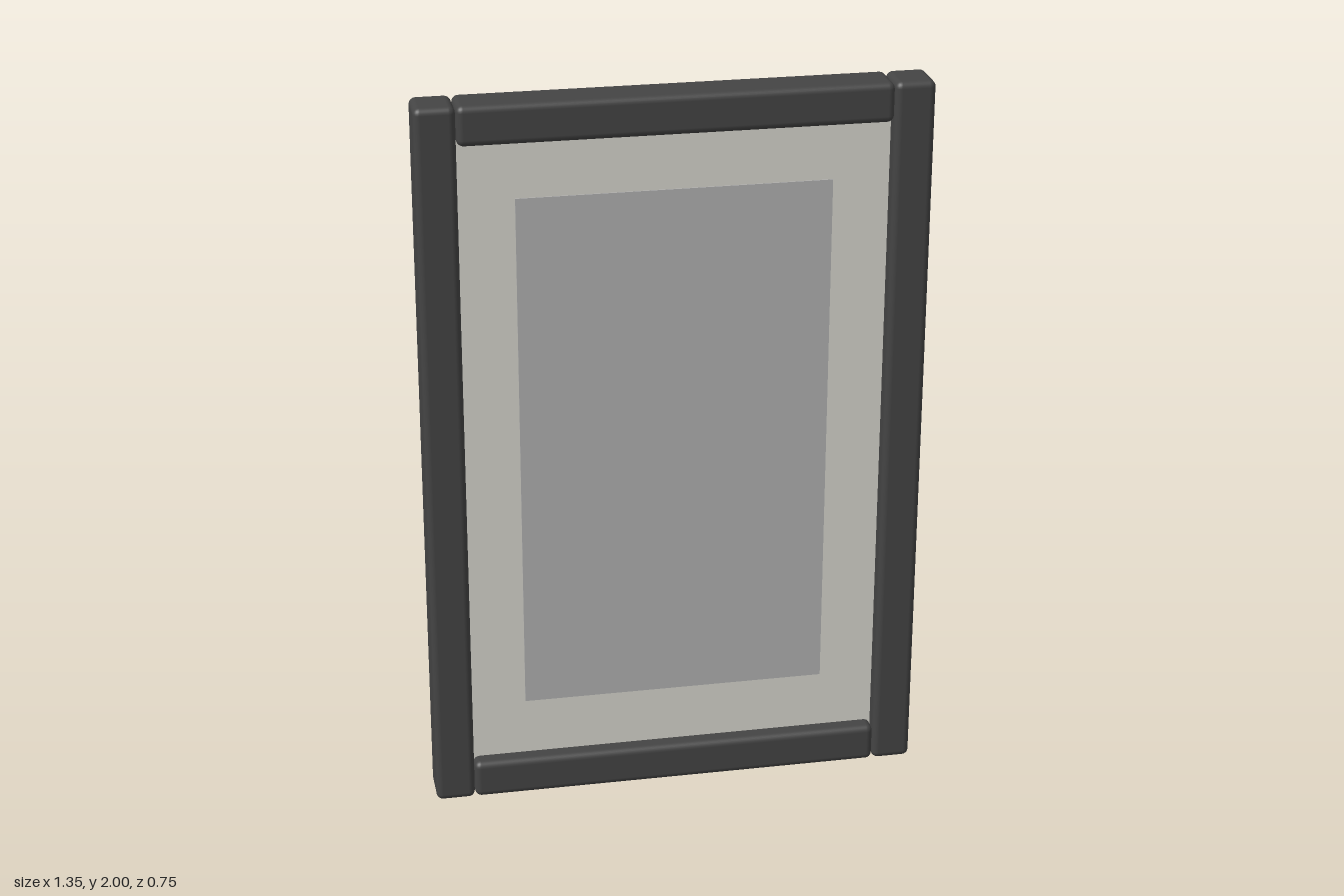
import * as THREE from 'three';
import { RoundedBoxGeometry } from 'three/addons/geometries/RoundedBoxGeometry.js';

const material = (name, color) => {
  const m = new THREE.MeshStandardMaterial({ color });
  m.name = name;
  return m;
};

export function createModel() {
  const model = new THREE.Group();
  model.name = 'pictureFrame';

  const charcoal = material('charcoal', 0x444444);
  const cream = material('cream', 0xd8d6ce);
  const grey = material('grey', 0xb2b2b2);
  const brown = material('brown', 0x7a6a58);

  const add = (name, geometry, mat, x, y, z) => {
    const mesh = new THREE.Mesh(geometry, mat);
    mesh.name = name;
    mesh.position.set(x, y, z);
    model.add(mesh);
    return mesh;
  };

  // Frame: two full-height uprights with rails fitted between them
  const depth = 0.122, frameZ = 0.317, bar = 0.107, radius = 0.018;
  const upright = new RoundedBoxGeometry(bar, 2, depth, 3, radius);
  const rail = new RoundedBoxGeometry(1.134, bar, depth, 3, radius);
  add('leftUpright', upright, charcoal, 0.6215, 1, frameZ);
  add('rightUpright', upright, charcoal, -0.6215, 1, frameZ);
  add('topRail', rail, charcoal, 0, 2 - bar / 2, frameZ);
  add('bottomRail', rail, charcoal, 0, bar / 2, frameZ);

  // Recessed mat with the picture laid on it
  add('mat', new THREE.BoxGeometry(1.16, 1.82, 0.03), cream, 0, 1, 0.318);
  add('picture', new THREE.BoxGeometry(0.835, 1.467, 0.006), grey, 0, 1.002, 0.333);

  // Backing board, just proud of the frame's rear
  add('backingBoard', new THREE.BoxGeometry(1.31, 1.95, 0.03), brown, 0, 1, 0.2695);

  // Easel leg leaning away from the frame towards the back
  const leg = add('easelLeg', new THREE.BoxGeometry(0.206, 1.6, 0.025), brown, 0, 0.803, -0.065);
  leg.rotation.x = -0.384;

  return model;
}
